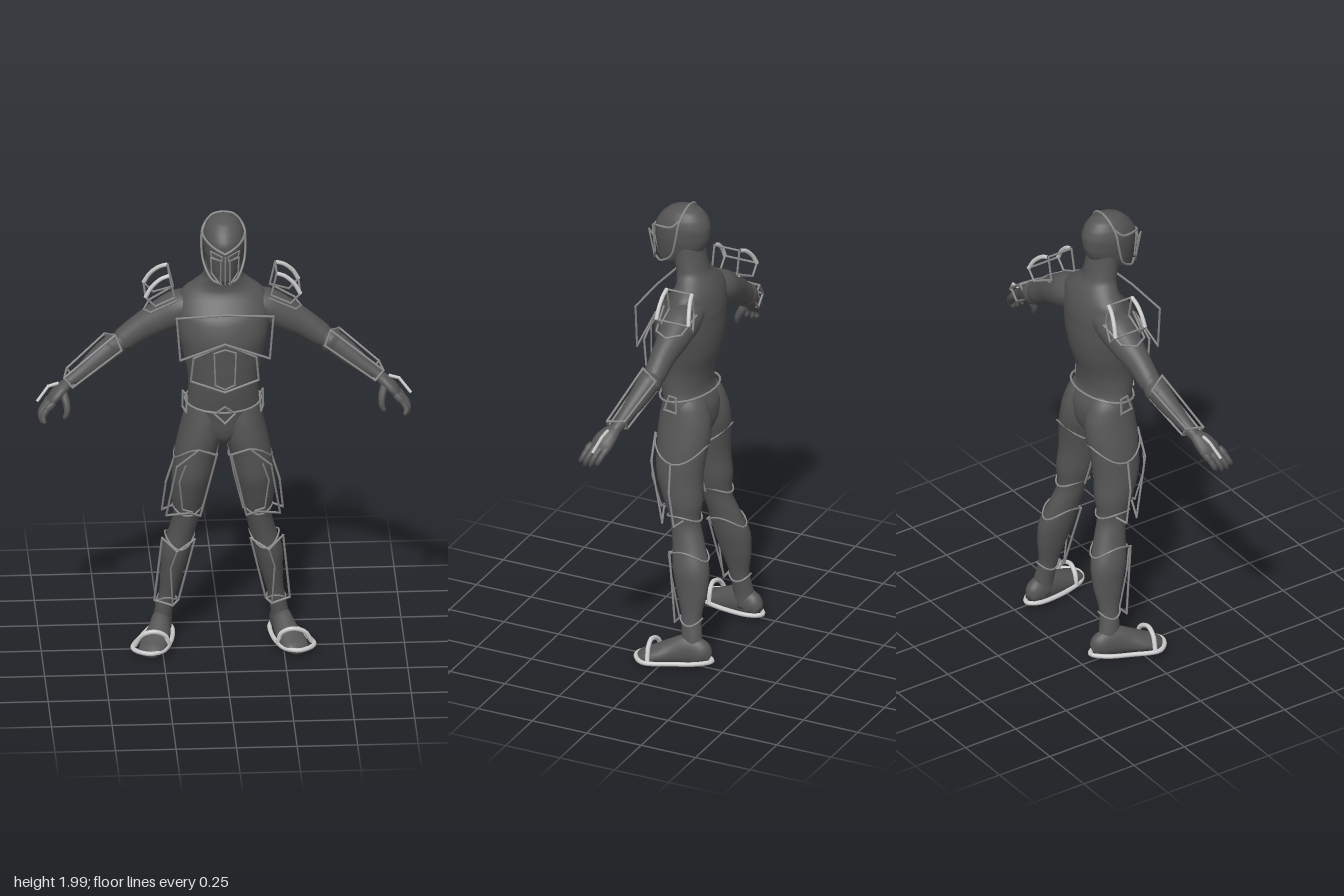
import * as THREE from 'three';
import { mergeGeometries } from 'three/addons/utils/BufferGeometryUtils.js';

const V = (x, y, z) => new THREE.Vector3(x, y, z);
const suit = new THREE.MeshStandardMaterial({ color: 0x555555 });
const trim = new THREE.MeshStandardMaterial({ color: 0x888888 });
const pale = new THREE.MeshStandardMaterial({ color: 0xcccccc });

function mesh(name, geometry, material) {
  const m = new THREE.Mesh(geometry, material);
  m.name = name;
  return m;
}

// Smooth skin over elliptical rows [x, y, z, radius along ref, radius across]; upright rows run bottom to top
function loft(rows, { s = 1, ref = V(0, 0, 1), upright = false, n = 28, per = 5 } = {}) {
  const mid = new THREE.CatmullRomCurve3(rows.map(r => V(r[0] * s, r[1], r[2])));
  const rad = new THREE.CatmullRomCurve3(rows.map(r => V(r[3], r[4], 0)));
  const steps = (rows.length - 1) * per, pos = [], idx = [];
  for (let i = 0; i <= steps; i++) {
    const c = mid.getPoint(i / steps), r = rad.getPoint(i / steps);
    const t = upright ? V(0, 1, 0) : mid.getTangent(i / steps);
    const u = ref.clone().addScaledVector(t, -ref.dot(t)).normalize();
    const v = t.clone().cross(u);
    for (let j = 0; j < n; j++) {
      const a = j / n * Math.PI * 2;
      const p = c.clone().addScaledVector(u, r.x * Math.cos(a)).addScaledVector(v, r.y * Math.sin(a));
      pos.push(p.x, p.y, p.z);
    }
  }
  for (let i = 0; i < steps; i++) for (let j = 0; j < n; j++) {
    const k = (j + 1) % n, a = i * n + j, b = i * n + k;
    idx.push(a, b, b + n, a, b + n, a + n);
  }
  const first = pos.length / 3, last = steps * n;
  pos.push(...mid.getPoint(0).toArray(), ...mid.getPoint(1).toArray());
  for (let j = 0; j < n; j++) {
    const k = (j + 1) % n;
    idx.push(first, k, j, first + 1, last + j, last + k);
  }
  const g = new THREE.BufferGeometry();
  g.setAttribute('position', new THREE.Float32BufferAttribute(pos, 3));
  g.setIndex(idx);
  g.computeVertexNormals();
  return g;
}

// Straight-sided wire through points
function wire(pts, closed = false, s = 1, r = 0.005) {
  const P = pts.map(p => V(p[0] * s, p[1], p[2])), parts = [];
  for (let i = 0; i < P.length - (closed ? 0 : 1); i++) {
    const a = P[i], d = P[(i + 1) % P.length].clone().sub(a);
    const g = new THREE.CylinderGeometry(r, r, d.length() + r, 6);
    g.applyQuaternion(new THREE.Quaternion().setFromUnitVectors(V(0, 1, 0), d.clone().normalize()));
    g.translate(a.x + d.x / 2, a.y + d.y / 2, a.z + d.z / 2);
    parts.push(g);
  }
  return mergeGeometries(parts);
}

// Curved wire through points, capped by its neighbours or closed on itself
function bend(pts, closed = false, s = 1, r = 0.008) {
  const c = new THREE.CatmullRomCurve3(pts.map(p => V(p[0] * s, p[1], p[2])), closed);
  return new THREE.TubeGeometry(c, 48, r, 8, closed);
}

// Points of a band around a limb, its height varying with the angle from the front
function band(cx, cz, rx, rz, height) {
  return Array.from({ length: 24 }, (_, i) => {
    const a = i / 24 * Math.PI * 2;
    return [cx + rx * Math.sin(a), height(a), cz + rz * Math.cos(a)];
  });
}

function buildSide(s) {
  const g = new THREE.Group();
  g.name = s > 0 ? 'leftSide' : 'rightSide';
  const add = (name, geo, mat = trim) => g.add(mesh(name, geo, mat));

  // Leg and foot
  add('leg', loft([[.245, .05, -.12, .05, .04], [.24, .12, -.11, .045, .037], [.225, .2, -.1, .043, .035],
    [.205, .32, -.092, .068, .048], [.19, .42, -.08, .08, .06], [.165, .52, -.057, .07, .055],
    [.148, .6, -.035, .064, .054], [.14, .7, -.02, .085, .073], [.128, .8, 0, .1, .082], [.113, .9, 0, .109, .087],
    [.094, .98, -.002, .116, .09], [.082, 1.05, -.002, .112, .086], [.072, 1.12, .005, .095, .08],
    [.06, 1.19, .025, .06, .05]], { s, upright: true }), suit);
  add('foot', loft([[.232, .04, -.185, .022, .022], [.24, .06, -.155, .055, .04], [.25, .07, -.1, .066, .042],
    [.265, .055, -.03, .052, .05], [.285, .04, .03, .036, .058], [.3, .03, .075, .026, .054],
    [.312, .022, .105, .014, .032]], { s, ref: V(0, 1, 0) }), suit);

  // Shoe rim and toe strap
  add('shoeRim', bend([[.235, .03, -.2], [.205, .03, -.16], [.205, .03, -.06], [.225, .03, .03], [.255, .03, .09],
    [.305, .03, .112], [.355, .03, .085], [.375, .03, .045], [.335, .03, -.06], [.285, .03, -.16]], true, s, .01), pale);
  add('toeStrap', bend([[.225, .03, .04], [.24, .08, .045], [.285, .102, .052], [.335, .085, .045],
    [.365, .035, .035]], false, s, .01), pale);

  // Thigh guard
  add('thighTopBand', wire(band(.113, 0, .09, .115, a => .915 + .035 * Math.cos(2 * a)), true, s, .004));
  add('thighBottomBand', wire(band(.146, -.03, .06, .074, a => .632 - .012 * Math.cos(2 * a)), true, s, .004));
  add('thighFrontPlate', wire([[.105, .955, .125], [.195, .87, .1], [.235, .62, .03], [.14, .645, .068],
    [.095, .62, .045], [.03, .92, .1]], true, s));
  add('thighPanel', wire([[.16, .88, .115], [.185, .8, .1], [.17, .66, .065], [.13, .65, .07]], false, s, .004));
  add('thighOuterStrut', wire([[.2, .88, .01], [.235, .76, 0], [.25, .62, -.03], [.205, .63, -.05]], false, s));
  add('thighInnerStrut', wire([[.02, .94, .02], [.045, .8, .01], [.085, .63, -.01]], false, s));

  // Shin guard
  add('shinTopBand', wire(band(.175, -.065, .061, .086, a => .478 - .022 * Math.cos(2 * a)), true, s, .004));
  add('shinBottomBand', wire(band(.226, -.1, .04, .047, a => .195 + .012 * Math.cos(2 * a)), true, s, .004));
  add('shinPlate', wire([[.115, .49, -.01], [.19, .45, .022], [.25, .5, -.01], [.28, .2, -.05],
    [.205, .18, -.035], [.18, .2, -.05]], true, s));
  add('shinRidge', wire([[.19, .45, .022], [.215, .36, -.005], [.205, .18, -.035]], false, s, .004));

  // Arm and hand
  add('arm', loft([[.04, 1.575, -.025, .05, .03], [.11, 1.56, -.028, .074, .058], [.18, 1.535, -.03, .078, .076],
    [.26, 1.495, -.03, .066, .068], [.34, 1.45, -.026, .051, .057], [.41, 1.4, -.022, .047, .05],
    [.46, 1.37, -.012, .047, .05], [.52, 1.325, .005, .041, .045], [.58, 1.28, .025, .031, .034],
    [.63, 1.248, .038, .026, .026], [.66, 1.228, .05, .022, .02]], { s }), suit);
  add('palm', loft([[.635, 1.245, .04, .024, .02], [.67, 1.22, .06, .042, .026], [.7, 1.192, .075, .048, .024],
    [.725, 1.162, .085, .04, .015]], { s, n: 18 }), suit);
  for (let k = 0; k < 4; k++) {
    const z = .045 + .025 * k, d = .008 * Math.abs(k - 1.5);
    add('finger', loft([[.705, 1.185, z, .013, .013], [.744 - d, 1.16, z + .012, .013, .013],
      [.763 - d, 1.13, z + .024, .012, .012], [.757 - d, 1.1 + d, z + .034, .009, .009],
      [.755 - d, 1.092 + d, z + .036, .003, .003]], { s, n: 10, per: 3 }), suit);
  }
  add('thumb', loft([[.665, 1.215, .08, .018, .018], [.652, 1.175, .105, .017, .016], [.65, 1.14, .12, .013, .013],
    [.66, 1.115, .122, .009, .009], [.662, 1.11, .122, .003, .003]], { s, n: 10, per: 3 }), suit);

  // Forearm guard and hand bar
  const front = [[.42, 1.375, .035], [.445, 1.435, .015], [.66, 1.275, .075], [.625, 1.235, .085]];
  const back = [[.45, 1.355, -.055], [.485, 1.41, -.062], [.645, 1.285, 0], [.61, 1.235, .005]];
  add('forearmFrontPlate', wire(front, true, s));
  add('forearmBackPlate', wire(back, true, s));
  front.forEach((p, i) => add('forearmTie', wire([p, back[i]], false, s)));
  add('handBar', wire([[.685, 1.245, .06], [.725, 1.235, .065], [.77, 1.18, .085]], false, s, .007), pale);

  // Shoulder guard, its rear arch flaring back towards the bottom
  for (const [z, flare] of [[.015, 0], [-.1, -.032]]) {
    add('shoulderArch', bend([[.222, 1.7, z], [.258, 1.685, z + flare * .3], [.295, 1.65, z + flare * .7],
      [.32, 1.605, z + flare]], false, s, .009), pale);
    add('shoulderEdge', wire([[.222, 1.7, z], [.2, 1.6, z], [.28, 1.562, z + flare], [.32, 1.605, z + flare]], false, s));
  }
  add('shoulderTopTie', wire([[.222, 1.7, .015], [.222, 1.7, -.1]], false, s));
  add('shoulderTipTie', wire([[.32, 1.605, .015], [.32, 1.605, -.132]], false, s));
  add('shoulderBand', wire([[.19, 1.6, .045], [.3, 1.54, .025], [.325, 1.53, -.03], [.3, 1.545, -.09],
    [.2, 1.595, -.11]], false, s));

  // Hip loop on the belt
  add('hipLoop', wire([[.15, 1.165, .04], [.165, 1.17, 0], [.167, 1.1, 0], [.155, 1.1, .06]], true, s));

  // Chest and helmet outlines
  add('chestPlate', wire([[0, 1.585, .17], [.2, 1.575, .17], [.185, 1.385, .17], [0, 1.455, .175]], false, s));
  add('bellyPlate', wire([[0, 1.455, .175], [.13, 1.39, .165], [.14, 1.28, .15], [0, 1.235, .17]], false, s));
  add('bellyPanel', wire([[0, 1.43, .175], [.045, 1.415, .175], [.04, 1.27, .175], [0, 1.25, .175]], false, s, .004));
  add('helmetSide', bend([[0, 1.99, .02], [.045, 1.978, .02], [.083, 1.93, .03], [.091, 1.86, .04],
    [.083, 1.78, .065], [.05, 1.73, .13], [.012, 1.725, .168]], false, s, .005));
  add('browLine', bend([[0, 1.865, .18], [.03, 1.88, .17], [.062, 1.895, .14], [.088, 1.915, .06],
    [.075, 1.945, .03]], false, s, .005));
  add('eyeLine', wire([[.012, 1.855, .183], [.06, 1.868, .15], [.055, 1.845, .155], [.015, 1.835, .185]], true, s, .003));
  add('maskPlate', wire([[.018, 1.845, .198], [.058, 1.84, .155], [.055, 1.77, .15], [.02, 1.725, .17]], true, s, .004));
  return g;
}

export function createModel() {
  const model = new THREE.Group();
  model.name = 'armouredFigure';

  // Torso, neck and head
  model.add(mesh('torso', loft([[0, .945, 0, .04, .025], [0, .975, 0, .08, .07], [0, 1.03, 0, .1, .138],
    [0, 1.1, .006, .106, .157], [0, 1.17, .027, .101, .146], [0, 1.25, .03, .11, .145], [0, 1.35, .02, .129, .165],
    [0, 1.45, .016, .138, .187], [0, 1.53, .005, .128, .192], [0, 1.585, -.012, .104, .185],
    [0, 1.625, -.02, .085, .165], [0, 1.66, -.015, .074, .122], [0, 1.7, .002, .067, .084],
    [0, 1.76, .015, .066, .075], [0, 1.82, .02, .06, .07]], { upright: true, n: 40 }), suit));
  model.add(mesh('head', loft([[0, 1.714, .115, .026, .022], [0, 1.73, .095, .06, .046], [0, 1.78, .064, .099, .068],
    [0, 1.84, .052, .118, .082], [0, 1.89, .048, .12, .086], [0, 1.935, .042, .101, .077], [0, 1.967, .037, .07, .055],
    [0, 1.985, .034, .025, .02]], { upright: true, n: 32 }), suit));

  // Belt with diamond buckle
  model.add(mesh('belt', wire(band(0, .018, .158, .115, a => 1.145 - .02 * Math.cos(a)), true), trim));
  model.add(mesh('buckle', wire([[0, 1.165, .16], [.042, 1.127, .145], [0, 1.09, .16], [-.042, 1.127, .145]], true), trim));

  // Centre strip of the mask
  model.add(mesh('noseStrip', wire([[0, 1.855, .19], [0, 1.73, .178]], false, 1, .004), trim));

  for (const s of [1, -1]) model.add(buildSide(s));
  return model;
}
